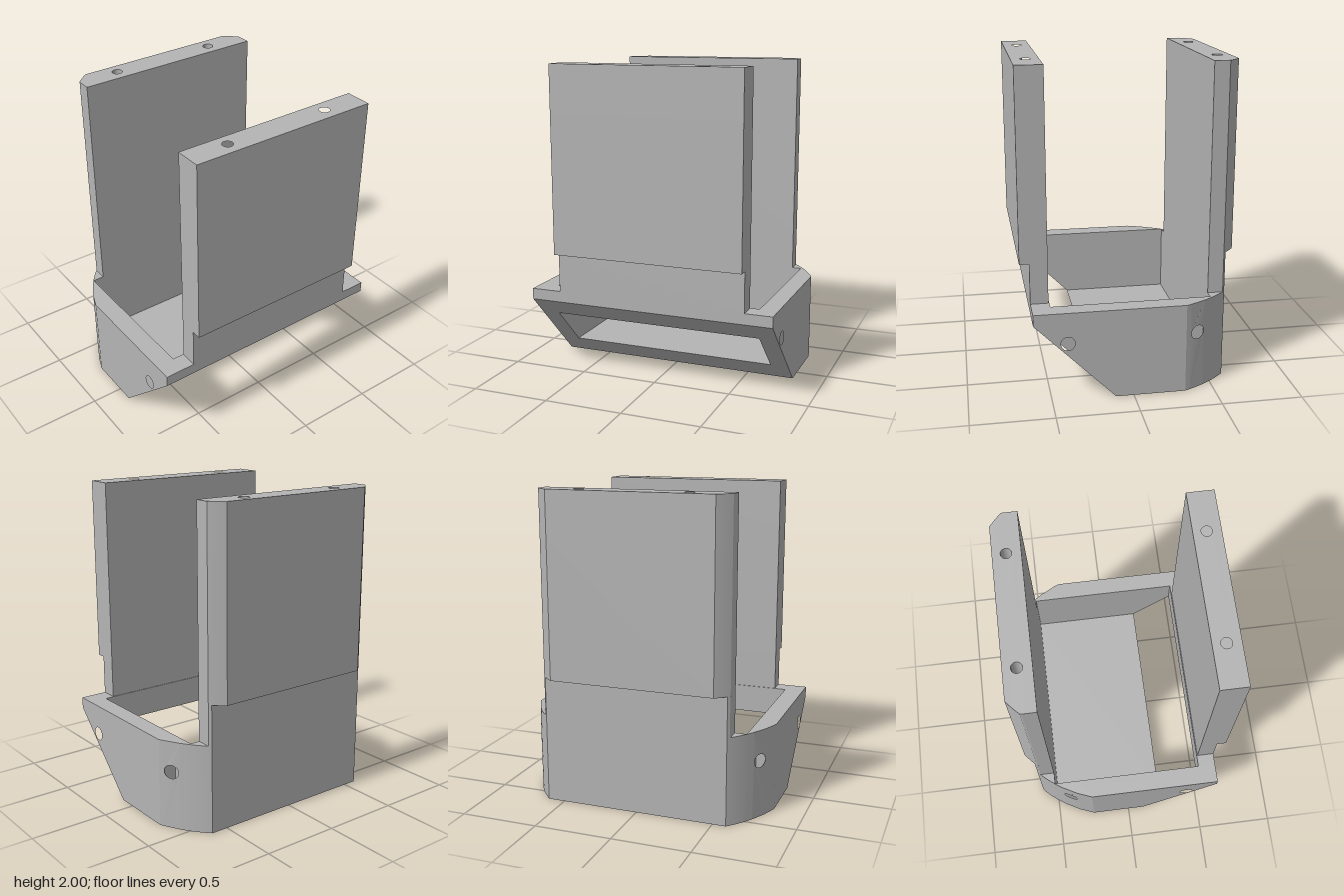
import * as THREE from 'three';

const R = 0.851, CX = 0.012;              // turning circle that trims the rear corners
const TOP = 0.565, FRONT = 0.605, BACK = -0.605, INNER = 0.495;
const WALL = { '-1': -0.678, '1': 0.685 }; // inner faces of the side walls
const HOLE_FLOOR = 0.7, HOLE_Y = 0.37, HOLE_Z = 0.4;

// outer x of the side s at depth z, limited to xMax
const outerX = (z, s, xMax) => {
  const arc = CX + s * Math.sqrt(R * R - z * z);
  return z > 0 ? xMax : s > 0 ? Math.min(xMax, arc) : Math.max(xMax, arc);
};

function polygon(points, holes = [], radius = 0) {
  const shape = new THREE.Shape(points.map(([a, b]) => new THREE.Vector2(a, b)));
  for (const [a, b] of holes) {
    shape.holes.push(new THREE.Path().absarc(a, b, radius, 0, Math.PI * 2, true));
  }
  return shape;
}

const extrude = (shape, depth) =>
  new THREE.ExtrudeGeometry(shape, { depth, bevelEnabled: false, curveSegments: 16 });

// plan outline in [x, z], raised from y0 to y1
function fromPlan(points, y0, y1, holes = []) {
  const flip = ([x, z]) => [x, -z];
  return extrude(polygon(points.map(flip), holes.map(flip), 0.033), y1 - y0)
    .rotateX(-Math.PI / 2).translate(0, y0, 0);
}

// side profile in [z, y], swept from x0 to x1
function fromSide(points, x0, x1, holes = []) {
  const flip = ([z, y]) => [-z, y];
  return extrude(polygon(points.map(flip), holes.map(flip), 0.043), x1 - x0)
    .rotateY(Math.PI / 2).translate(x0, 0, 0);
}

// rear outline whose ends follow the turning circle
function rearPlan(xMin, xMax, zOut) {
  const right = [], left = [], n = 16;
  for (let i = 0; i <= n; i++) {
    const z = -INNER + (zOut + INNER) * i / n;
    right.push([outerX(z, 1, xMax), z]);
    left.unshift([outerX(z, -1, xMin), z]);
  }
  return [...right, ...left];
}

const rect = (x0, x1, z0, z1) => [[x0, z0], [x1, z0], [x1, z1], [x0, z1]];

export function createModel() {
  const model = new THREE.Group();
  const grey = new THREE.MeshStandardMaterial({ color: 0xb4b4b4 });
  grey.name = 'grey';
  const add = (name, geometry, parent = model) => {
    const mesh = new THREE.Mesh(geometry, grey);
    mesh.name = name;
    parent.add(mesh);
  };
  const addGroup = (name) => {
    const group = new THREE.Group();
    group.name = name;
    model.add(group);
    return group;
  };

  // tray floor and front lip, both cut by the sloping front
  add('floor', fromSide([[-INNER, 0], [0.11, 0], [0.23, 0.12], [-INNER, 0.12]], WALL[-1], WALL[1]));
  add('frontLip', fromSide([[0.49, 0.38], [FRONT, 0.495], [FRONT, TOP], [0.49, TOP]], WALL[-1], WALL[1]));
  add('rearWall', fromPlan(rearPlan(-0.8, 0.8, BACK), 0, TOP));

  // side walls in strips, with two blind screw holes each
  for (const s of [-1, 1]) {
    const side = addGroup(s > 0 ? 'leftWall' : 'rightWall');
    const tangent = -Math.sqrt(R * R - (0.8 - s * CX) ** 2);
    const strip = (z0, z1) => [[z0, 0], [z1, 0], [z1, TOP], [z0, TOP]];
    const straight = [[tangent, 0], [0.11, 0], [FRONT, 0.495], [FRONT, TOP], [tangent, TOP]];
    const strips = [
      { profile: strip(-INNER, -0.45) },
      { profile: strip(-0.45, -0.35), holes: [[-HOLE_Z, HOLE_Y]] },
      { profile: strip(-0.35, tangent) },
      { profile: straight, holes: [[HOLE_Z, HOLE_Y]] },
    ];
    for (const { profile, holes } of strips) {
      const inner = holes ? s * HOLE_FLOOR : WALL[s];
      const geometry = fromSide(profile, 0, 1, holes);
      const p = geometry.attributes.position;
      for (let i = 0; i < p.count; i++) {
        const atOutside = (p.getX(i) > 0.5) === (s > 0);
        p.setX(i, atOutside ? outerX(p.getZ(i), s, s * 0.8) : inner);
      }
      geometry.computeVertexNormals();
      add('wallStrip', geometry, side);
      if (holes) {
        add('wallLining', fromSide(profile, Math.min(WALL[s], inner), Math.max(WALL[s], inner)), side);
      }
    }
  }

  // upright plates: thin foot, thick body, drilled top
  const X0 = -0.603, X1 = 0.625, STEP = 0.82, DRILL = 1.7, OUT = 0.665;
  const plates = [
    { name: 'frontPlate', foot: rect(X0, X1, INNER, FRONT), body: rect(X0, X1, INNER, OUT), z: 0.577 },
    { name: 'rearPlate', foot: rearPlan(X0, X1, BACK), body: rearPlan(X0, X1, -OUT), z: -0.583 },
  ];
  for (const { name, foot, body, z } of plates) {
    const plate = addGroup(name);
    add('plateFoot', fromPlan(foot, TOP, STEP), plate);
    add('plateBody', fromPlan(body, STEP, DRILL), plate);
    add('plateTop', fromPlan(body, DRILL, 2, [[-0.337, z], [0.36, z]]), plate);
  }
  return model;
}
